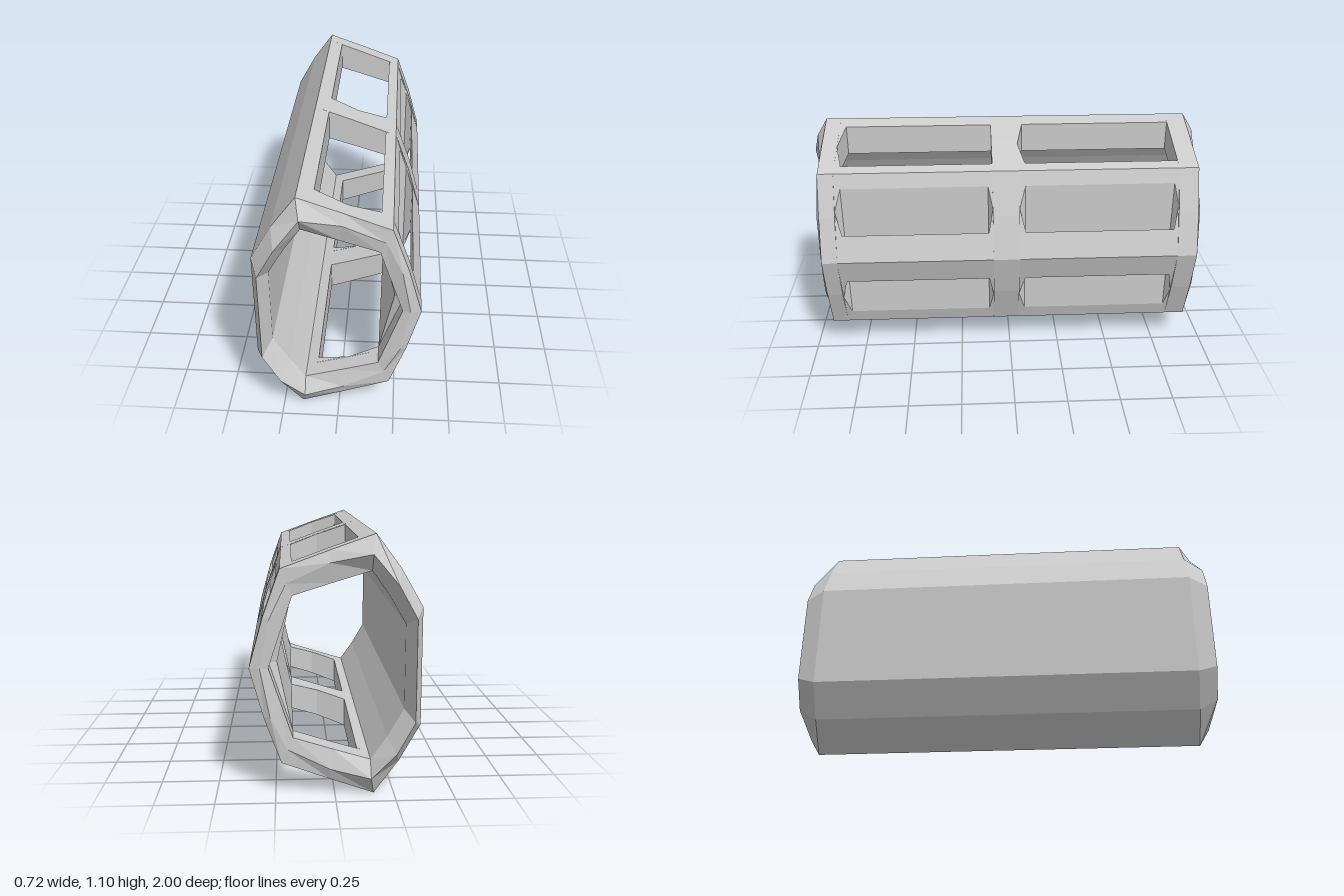
import * as THREE from 'three';

const MID = 0.55; // height of the horizontal symmetry plane
const material = new THREE.MeshStandardMaterial({ color: 0xcccccc, flatShading: true });

// Upper half profiles, left wall over the top to the right ridge
const outerHalf = [[-0.36, 0.8], [-0.27, 0.958], [-0.165, 1.1], [0.02, 1.035], [0.225, 0.96], [0.297, 0.76], [0.355, MID]];
const innerHalf = [[-0.29, 0.73], [-0.22, 0.85], [-0.15, 0.95], [0.01, 0.902], [0.175, 0.85], [0.225, 0.7], [0.275, MID]];
const rimHalf = [[-0.325, 0.765, 1], [-0.25, 0.9, 1], [-0.15, 1.02, 0.96], [0.02, 0.985, 0.93],
  [0.2, 0.9, 0.915], [0.27, 0.755, 0.925], [0.31, MID, 0.92]];

// Close a half profile by mirroring it; points on the symmetry plane are kept once
const mirrored = (half) => [...half, ...half.filter((p) => p[1] !== MID).reverse()
  .map(([x, y, z]) => [x, 2 * MID - y, z])];

// Heights of the sloping facets at a given x
const topOuter = (x) => 1.1 - 0.359 * (x + 0.165);
const topInner = (x) => 0.95 - 0.308 * (x + 0.15);
const sideOuter = (x) => MID + 3.154 * (0.355 - x);

function addMesh(group, name, geometry) {
  const mesh = new THREE.Mesh(geometry, material);
  mesh.name = name;
  group.add(mesh);
}

// Flat faceted skin through a row of closed rings
function skin(rings) {
  const pos = [];
  for (let r = 0; r < rings.length - 1; r++) {
    const a = rings[r], b = rings[r + 1];
    a.forEach((p, i) => {
      const j = (i + 1) % a.length;
      pos.push(...p, ...b[i], ...b[j], ...p, ...b[j], ...a[j]);
    });
  }
  const geometry = new THREE.BufferGeometry();
  geometry.setAttribute('position', new THREE.Float32BufferAttribute(pos, 3));
  geometry.computeVertexNormals();
  return geometry;
}

// Full cross-section rib
function rib(z0, z1) {
  const loop = (half) => mirrored(half).reverse().map(([x, y]) => new THREE.Vector2(x, y));
  const shape = new THREE.Shape(loop(outerHalf));
  shape.holes.push(new THREE.Path(loop(innerHalf)));
  const geometry = new THREE.ExtrudeGeometry(shape, { depth: z1 - z0, bevelEnabled: false });
  return geometry.translate(0, 0, z0);
}

// Half sections of the beams between the window cuts
const wallHalf = (s) => [...outerHalf.slice(0, 3), [s.left, topOuter(s.left)],
  [s.left, topInner(s.left)], ...innerHalf.slice(0, 3).reverse()];
const panelHalf = (s) => [[s.inner, MID], [0.175, 0.85], [s.right, topInner(s.right)],
  [s.right, topOuter(s.right)], [0.225, 0.96], [s.back, sideOuter(s.back)]];
const ridgeHalf = (s) => [[s.ridge, sideOuter(s.ridge)], [0.355, MID]];

export function createModel() {
  const group = new THREE.Group();
  group.name = 'windowedTube';

  addMesh(group, 'rearRib', rib(-0.91, -0.815));
  addMesh(group, 'middleRib', rib(-0.045, 0.083));
  addMesh(group, 'frontRib', rib(0.835, 0.91));

  // Window bays: the cuts narrow towards their ends, leaving pointed jambs
  for (const [prefix, z0, z1] of [['rear', -0.815, -0.045], ['front', 0.083, 0.835]]) {
    const open = { left: -0.1, right: 0.175, inner: 0.24, back: 0.247, ridge: 0.315 };
    const closed = { ...open, inner: 0.275, back: 0.28, ridge: 0.28 };
    const stations = [
      { ...closed, z: z0 },
      { ...open, z: z0 + 0.022 },
      { ...open, z: z1 - 0.03 },
      { ...closed, left: 0.04, right: 0.04, z: z1 },
    ];
    for (const [name, half] of [['CurvedWall', wallHalf], ['SidePanel', panelHalf], ['SideRidge', ridgeHalf]]) {
      addMesh(group, prefix + name, skin(stations.map((s) => mirrored(half(s)).map(([x, y]) => [x, y, s.z]))));
    }
  }

  // Faceted lips joining the outer and inner profiles at both ends
  for (const [name, side] of [['frontRim', 1], ['rearRim', -1]]) {
    const rings = [outerHalf, rimHalf, innerHalf].map((half) =>
      mirrored(half).map(([x, y, z = 0.91]) => [x, y, z * side]));
    addMesh(group, name, skin(side > 0 ? rings : rings.reverse()));
  }
  return group;
}
